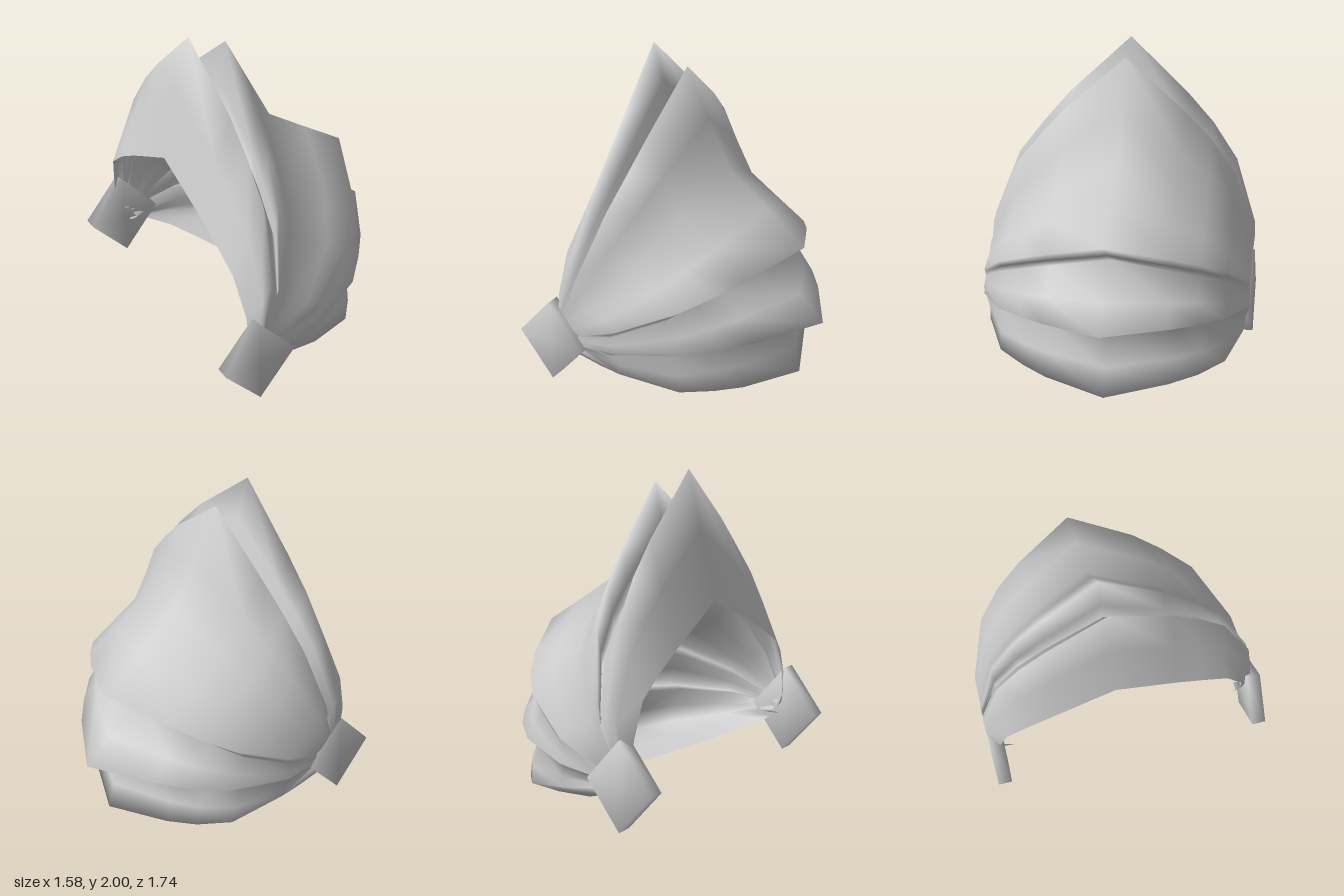
import * as THREE from 'three';
import { mergeVertices } from 'three/addons/utils/BufferGeometryUtils.js';

const PIVOT = [-0.56, 0.35];

// Pleated outline in the middle plane, from the back rim over the top to the
// lower lip: x, y, then the bulge halfway to the sides: dx at the back half,
// dx at the front half, dy
const OUTLINE = [
  [-0.62, 1.25, -0.04, 0, 0], [-0.52, 1.66, 0, 0.05, 0], [-0.43, 2.0, 0.03, 0.1, 0],
  [-0.36, 1.77, 0.04, 0.09, 0], [-0.31, 1.66, 0.05, 0.09, 0], [-0.27, 1.5, 0.06, 0.09, 0],
  [-0.24, 1.66, 0.05, 0.08, 0], [-0.19, 1.9, 0.05, 0.07, 0], [-0.04, 1.6, 0.05, 0.06, 0],
  [0.11, 1.3, 0.06, 0.07, 0.01], [0.38, 1.11, 0.08, 0.1, 0.02], [0.64, 0.93, 0.1, 0.12, 0.03],
  [0.5, 0.85, 0.14, 0.14, 0.03], [0.38, 0.79, 0.17, 0.17, 0.02], [0.62, 0.6, 0.1, 0.1, 0.02],
  [0.79, 0.45, 0.07, 0.08, 0.01], [0.64, 0.41, 0.09, 0.09, 0.01], [0.51, 0.38, 0.12, 0.12, 0.01],
  [0.6, 0.2, 0.13, 0.13, -0.02], [0.64, 0.03, 0.12, 0.12, -0.04], [0.43, 0.0, 0.02, 0.02, -0.02],
  [0.15, 0.02, -0.07, -0.09, 0],
];

// Stations across the width: z and scale of the outline about the pivot
const STATIONS = [
  [-0.78, 0.04], [-0.85, 0.12], [-0.87, 0.29], [-0.75, 0.54], [-0.6, 0.68], [-0.44, 0.79],
  [-0.08, 1],
  [0.3, 0.79], [0.46, 0.68], [0.63, 0.55], [0.81, 0.29], [0.825, 0.12], [0.775, 0.04],
];

function pleatedShell() {
  const pos = [], index = [];
  const n = OUTLINE.length;
  STATIONS.forEach(([z, f], i) => {
    const bulge = 4 * f * (1 - f);
    OUTLINE.forEach(([x, y, backDx, frontDx, bulgeDy], j) => {
      const dx = x - PIVOT[0], dy = y - PIVOT[1];
      // the rim and the lower lip tuck in near the pivots
      const tuck = f > 0.4 ? 1 : j === 0 ? 0.92 : dy < 0 ? 0.96 : 1;
      pos.push(
        PIVOT[0] + dx * f + (z < 0 ? backDx : frontDx) * bulge,
        PIVOT[1] + dy * f + bulgeDy * bulge,
        z * tuck
      );
      if (i < STATIONS.length - 1 && j < n - 1) {
        const a = i * n + j, b = a + n;
        index.push(a, b, a + 1, b, b + 1, a + 1);
      }
    });
  });
  const geo = new THREE.BufferGeometry();
  geo.setAttribute('position', new THREE.Float32BufferAttribute(pos, 3));
  geo.setIndex(index);
  geo.computeVertexNormals();
  return geo;
}

// Four-sided plate with softly shaded edges
function diamondPlate() {
  const geo = new THREE.CylinderGeometry(1, 1, 0.085, 4).rotateX(Math.PI / 2).scale(0.232, 0.274, 1);
  geo.deleteAttribute('normal');
  geo.deleteAttribute('uv');
  const merged = mergeVertices(geo, 1e-4);
  merged.computeVertexNormals();
  return merged;
}

export function createModel() {
  const group = new THREE.Group();
  group.name = 'pleatedHood';

  // Folded shell, open at the back and below
  const shell = new THREE.Mesh(
    pleatedShell(),
    new THREE.MeshStandardMaterial({ color: 0xcccccc, side: THREE.DoubleSide })
  );
  shell.name = 'pleatedShell';
  group.add(shell);

  // Diamond plates covering both pivots
  const plateGeo = diamondPlate();
  const plateMat = new THREE.MeshStandardMaterial({ color: 0xcccccc });
  for (const [name, z] of [['frontPivotPlate', 0.828], ['backPivotPlate', -0.828]]) {
    const plate = new THREE.Mesh(plateGeo, plateMat);
    plate.name = name;
    plate.position.set(PIVOT[0], PIVOT[1], z);
    group.add(plate);
  }
  return group;
}
